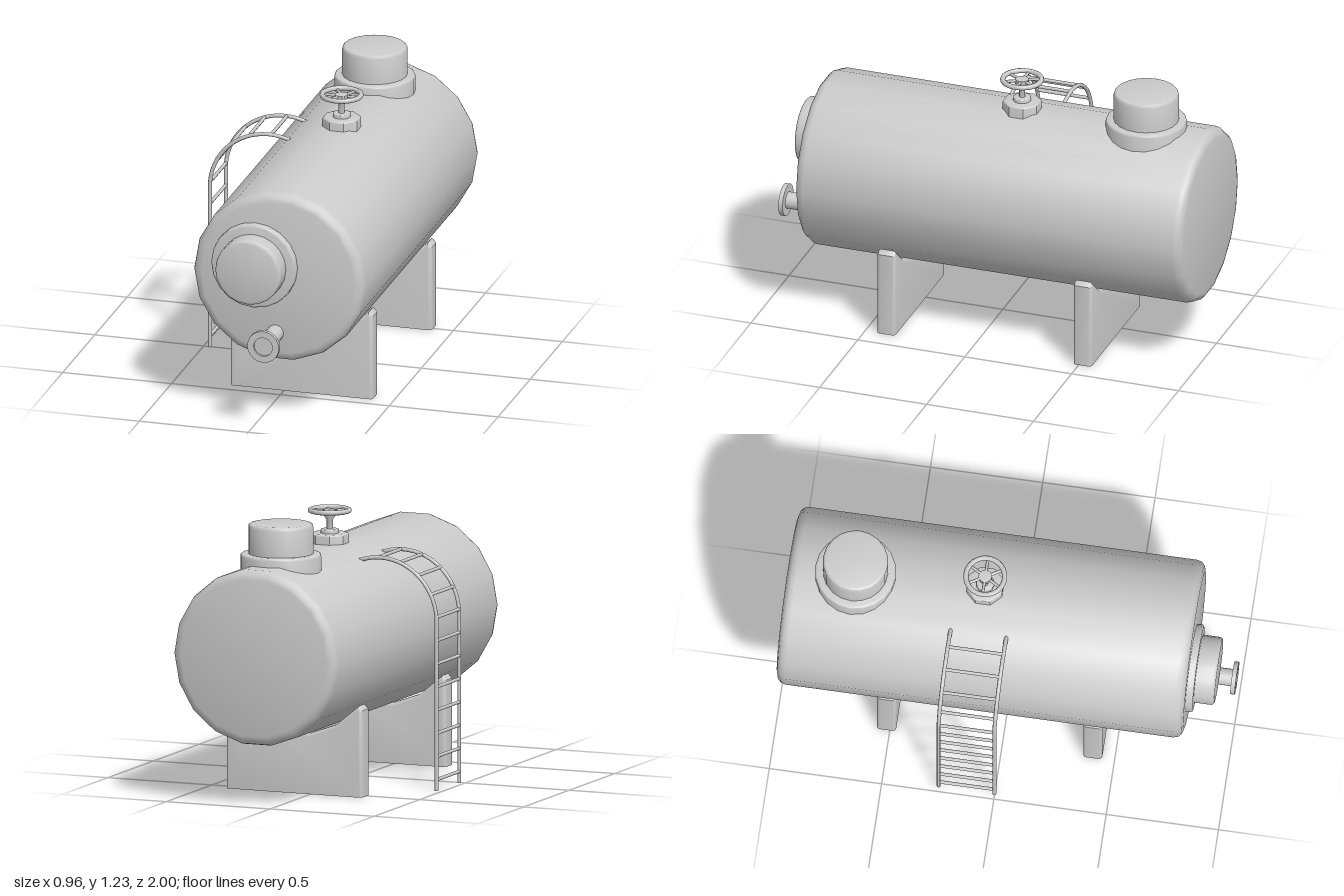
import * as THREE from 'three';
import { toCreasedNormals } from 'three/addons/utils/BufferGeometryUtils.js';

const grey = new THREE.MeshStandardMaterial({ color: 0xcccccc });
const TANK = { x: 0.08, y: 0.665, r: 0.395, back: -1, front: 0.81 };

function part(parent, name, geometry, x = 0, y = 0, z = 0, material = grey) {
  const mesh = new THREE.Mesh(geometry, material);
  mesh.name = name;
  mesh.position.set(x, y, z);
  parent.add(mesh);
  return mesh;
}

// Solid of revolution about y from [radius, height] pairs, rising
function turned(profile, sides) {
  const points = profile.map(([r, h]) => new THREE.Vector2(r, h));
  return toCreasedNormals(new THREE.LatheGeometry(points, sides), 0.75);
}

// Closed drum with a rounded top edge, and bottom edge if asked
function drum(r, y0, y1, bevel, sides, bothEnds = false) {
  const edge = [0, 30, 60, 90].map((d) => {
    const a = THREE.MathUtils.degToRad(d);
    return [r - bevel + bevel * Math.cos(a), bevel * Math.sin(a)];
  });
  const top = edge.map(([x, h]) => [x, y1 - bevel + h]);
  const bottom = bothEnds ? edge.map(([x, h]) => [x, y0 + bevel - h]).reverse() : [[r, y0]];
  return turned([[0, y0], ...bottom, ...top, [0, y1]], sides);
}

// Support block whose top follows the underside of the tank
function saddle() {
  const half = 0.327, depth = 0.085, bevel = 0.014;
  const shape = new THREE.Shape();
  shape.moveTo(-half, -0.03);
  shape.lineTo(half, -0.03);
  shape.lineTo(half, 0.387);
  for (let d = 320; d >= 220; d -= 20) {
    const a = THREE.MathUtils.degToRad(d);
    shape.lineTo(0.402 * Math.cos(a), TANK.y + 0.402 * Math.sin(a));
  }
  shape.lineTo(-half, 0.387);
  const g = new THREE.ExtrudeGeometry(shape, {
    depth: depth - 2 * bevel, bevelSize: bevel, bevelThickness: bevel,
    bevelOffset: -bevel, bevelSegments: 3,
  });
  g.translate(0, 0, bevel - depth / 2);
  // Flatten the foot onto the floor
  const p = g.attributes.position;
  for (let i = 0; i < p.count; i++) p.setY(i, Math.max(0, p.getY(i)));
  return toCreasedNormals(g, 0.65);
}

// Ladder rail: straight up, then curling over onto the tank
const LADDER = { straight: 0.752, r: 0.272, x: -0.2, length: 1.282 };
class RailCurve extends THREE.Curve {
  getPoint(t, target = new THREE.Vector3()) {
    const s = t * LADDER.length;
    const a = Math.max(0, s - LADDER.straight) / LADDER.r;
    return target.set(
      LADDER.x - LADDER.r * Math.cos(a),
      Math.min(s, LADDER.straight) + LADDER.r * Math.sin(a), 0);
  }
}

function ladder() {
  const group = new THREE.Group();
  group.name = 'ladder';
  const rail = new RailCurve();
  const open = grey.clone();
  open.side = THREE.DoubleSide;
  const z0 = -0.25, z1 = -0.002;
  for (const z of [z0, z1]) {
    part(group, 'ladderRail', new THREE.TubeGeometry(rail, 48, 0.009, 8), 0, 0, z, open);
  }
  for (let i = 0; i < 13; i++) {
    const p = rail.getPoint(Math.min(1, (0.05 + i * 0.1035) / LADDER.length));
    const rung = new THREE.CylinderGeometry(0.008, 0.008, z1 - z0, 8).rotateX(Math.PI / 2);
    part(group, 'ladderRung', rung, p.x, p.y, (z0 + z1) / 2);
  }
  return group;
}

// Hand valve with a spoked wheel
function valve() {
  const group = new THREE.Group();
  group.name = 'valve';
  part(group, 'valveBase', drum(0.086, 1.0, 1.097, 0.008, 8).rotateY(Math.PI / 8));
  part(group, 'valveCollar', drum(0.04, 1.09, 1.115, 0.004, 12));
  part(group, 'valveStem', turned([[0.014, 1.1], [0.014, 1.155], [0.03, 1.18], [0.03, 1.2], [0, 1.203]], 12));
  part(group, 'valveWheel', new THREE.TorusGeometry(0.086, 0.0115, 8, 24).rotateX(Math.PI / 2), 0, 1.198, 0);
  for (let i = 0; i < 6; i++) {
    const spoke = new THREE.CylinderGeometry(0.007, 0.007, 0.07, 6).rotateZ(Math.PI / 2);
    spoke.translate(0.05, 0, 0).rotateY((i * Math.PI) / 3);
    part(group, 'valveSpoke', spoke, 0, 1.193, 0);
  }
  group.position.set(0.097, 0, -0.125);
  return group;
}

export function createModel() {
  const model = new THREE.Group();
  model.name = 'storageTank';
  const toFront = (g) => g.rotateX(Math.PI / 2);

  // Tank body, with a vertex of its cross-section on each side
  const body = drum(TANK.r, TANK.back, TANK.front, 0.042, 18, true).rotateY(Math.PI / 2);
  part(model, 'tankBody', toFront(body), TANK.x, TANK.y, 0);

  // Supports
  part(model, 'frontSaddle', saddle(), TANK.x, 0, 0.402);
  part(model, 'rearSaddle', saddle(), TANK.x, 0, -0.516);

  // Front manhole
  const hatch = new THREE.Group();
  hatch.name = 'frontHatch';
  hatch.position.set(-0.024, 0.72, 0);
  part(hatch, 'hatchFlange', toFront(drum(0.195, 0.79, 0.842, 0.01, 20)));
  part(hatch, 'hatchCover', toFront(drum(0.151, 0.83, 0.932, 0.014, 20)));
  model.add(hatch);

  // Top dome
  const dome = new THREE.Group();
  dome.name = 'topDome';
  dome.position.set(TANK.x, 0, -0.7);
  part(dome, 'domeFlange', drum(0.179, 0.96, 1.093, 0.01, 20));
  part(dome, 'domeCap', drum(0.144, 1.08, 1.226, 0.014, 20));
  model.add(dome);

  // Outlet pipe with a recessed flange
  const outlet = turned([
    [0.038, 0.79], [0.038, 0.98], [0.073, 0.98], [0.073, 1],
    [0.043, 1], [0.043, 0.99], [0, 0.99],
  ], 20);
  part(model, 'outletPipe', toFront(outlet), 0.068, 0.407, 0);

  model.add(valve(), ladder());
  return model;
}
